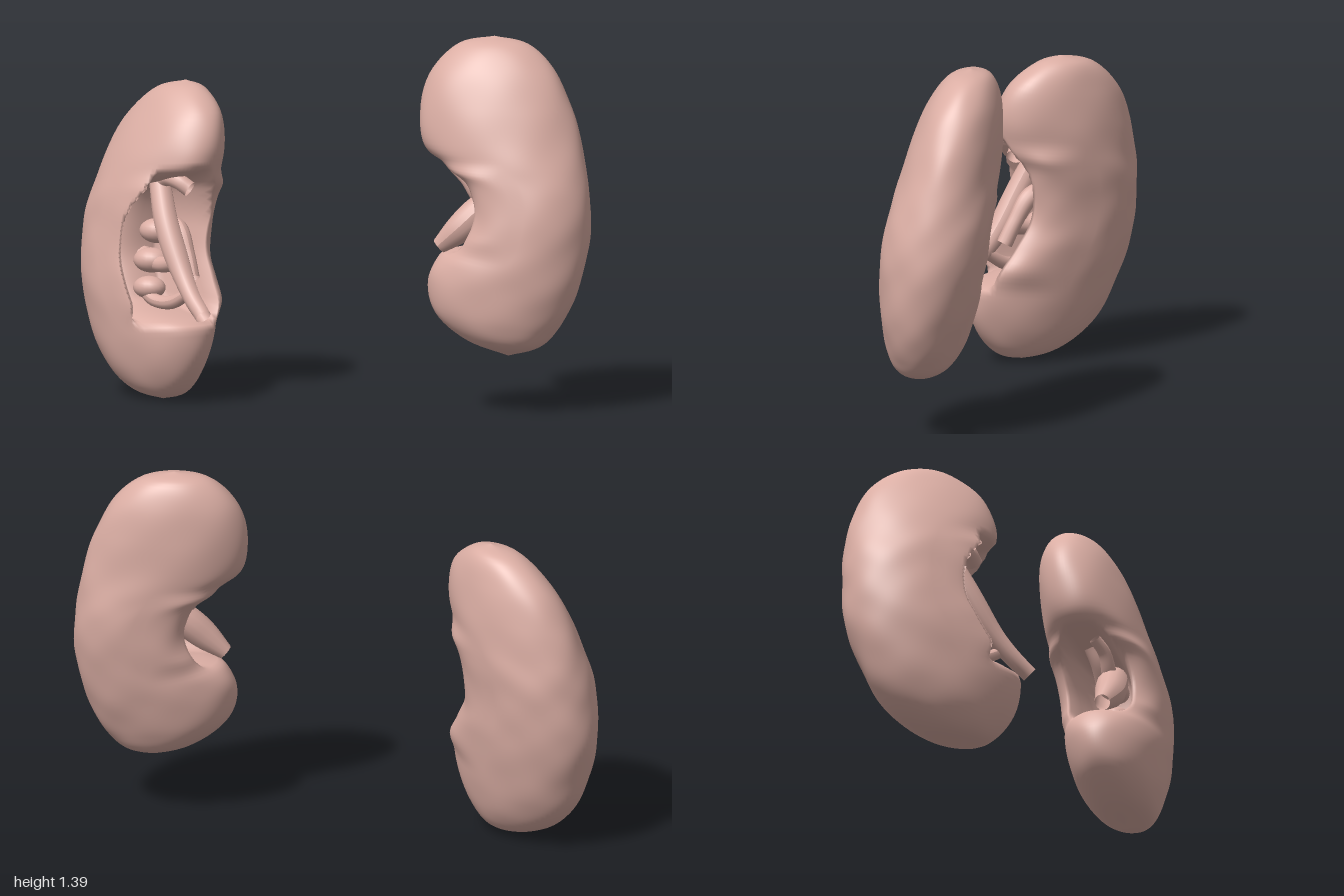
import * as THREE from 'three';

const flesh = new THREE.MeshStandardMaterial({ color: 0xdbaea4, side: THREE.DoubleSide });
flesh.name = 'flesh pink';

const RINGS = 80, SIDES = 88;
const smooth = (a, b, x) => THREE.MathUtils.smoothstep(x, a, b);

// Bean body: each station is [inner edge x, y, outer edge x, y, half thickness].
// Around the hilum the section turns squarer and its inner side folds inward;
// mouth is [centre angle, floor half angle, lip half angle, depth] of that fold.
// lean tips the whole body, bow draws both poles backward.
function beanGeometry(stations, { lean, bow, hilum, mouth, seed }) {
  const inner = new THREE.CatmullRomCurve3(stations.map(s => new THREE.Vector3(s[0], s[1], s[4])));
  const outer = new THREE.CatmullRomCurve3(stations.map(s => new THREE.Vector3(s[2], s[3], 0)));
  const last = stations.length - 1;
  const midY = (stations[0][1] + stations[last][1]) / 2;
  const flip = stations[6][0] < stations[6][2];
  const pos = [], index = [];
  for (let i = 0; i <= RINGS; i++) {
    const f = i / RINGS, k = f * last;
    const a = inner.getPoint(f), b = outer.getPoint(f);
    const h = smooth(hilum[0], hilum[0] + 0.9, k) * (1 - smooth(hilum[1] - 0.9, hilum[1], k));
    const widen = 0.65 + 0.35 * smooth(hilum[0], hilum[0] + 2.5, k);
    for (let j = 0; j < SIDES; j++) {
      const t = (j / SIDES) * Math.PI * 2;
      const signed = t > Math.PI ? t - Math.PI * 2 : t;
      const dent = h * (1 - smooth(mouth[1] * widen, mouth[2] * widen, Math.abs(signed - mouth[0])));
      let c = Math.cos(t), s = Math.sin(t);
      if (c > 0) {
        c = c ** (1 - 0.4 * h);
        s = Math.sign(s) * Math.abs(s) ** (1 - 0.25 * h);
      }
      c -= mouth[3] * dent;
      s *= 1 - 0.12 * dent;
      // gentle lumps over the surface
      const lump = 1 + 0.008 * Math.sin(4 * t + seed) * Math.sin(23 * f + seed)
        + 0.006 * Math.sin(7 * t + 2 * seed) * Math.sin(41 * f);
      const x = (a.x + b.x) / 2 + (a.x - b.x) / 2 * c * lump;
      const y = (a.y + b.y) / 2 + (a.y - b.y) / 2 * c * lump;
      const rise = y - midY;
      const z = Math.max(a.z, 0) * s * lump - lean * rise - bow * (rise / 0.59) ** 2;
      pos.push(x, y, z);
      if (i < RINGS) {
        const n = (j + 1) % SIDES;
        const p = i * SIDES + j, q = i * SIDES + n, r = p + SIDES, w = q + SIDES;
        if (flip) index.push(p, r, q, q, r, w);
        else index.push(p, q, r, q, w, r);
      }
    }
  }
  const g = new THREE.BufferGeometry();
  g.setAttribute('position', new THREE.Float32BufferAttribute(pos, 3));
  g.setIndex(index);
  g.computeVertexNormals();
  return g;
}

// Tapered vessel: each point is [x, y, z, radius]
function vessel(name, pts) {
  const path = new THREE.CatmullRomCurve3(pts.map(p => new THREE.Vector3(p[0], p[1], p[2])));
  const radius = new THREE.CatmullRomCurve3(pts.map((p, i) => new THREE.Vector3(i, p[3], 0)));
  const n = 24, m = 14;
  const g = new THREE.TubeGeometry(path, n, 1, m, false);
  const v = new THREE.Vector3(), pos = g.attributes.position;
  for (let i = 0; i < pos.count; i++) {
    const f = Math.floor(i / (m + 1)) / n;
    const c = path.getPointAt(f), r = radius.getPoint(f).y;
    v.fromBufferAttribute(pos, i).sub(c).multiplyScalar(r).add(c);
    pos.setXYZ(i, v.x, v.y, v.z);
  }
  g.computeVertexNormals();
  const mesh = new THREE.Mesh(g, flesh);
  mesh.name = name;
  return mesh;
}

// Rounded cup end inside the hilum
function calyx(x, y, z, r) {
  const mesh = new THREE.Mesh(new THREE.SphereGeometry(r, 20, 14), flesh);
  mesh.position.set(x, y, z);
  mesh.scale.set(1.25, 0.85, 1);
  mesh.name = 'calyx';
  return mesh;
}

function body(name, stations, options, position, turn) {
  const mesh = new THREE.Mesh(beanGeometry(stations, options), flesh);
  mesh.name = name;
  mesh.position.set(...position);
  mesh.rotation.y = turn;
  return mesh;
}

export function createModel() {
  const model = new THREE.Group();
  model.name = 'kidneys';

  // Right kidney, hilum turned toward the front
  const right = new THREE.Group();
  right.name = 'rightKidney';
  const rightStations = [
    [0.37, 1.177, 0.37, 1.177, 0], [0.46, 1.153, 0.24, 1.14, 0.075], [0.565, 1.07, 0.12, 1.03, 0.13],
    [0.6, 0.95, 0.06, 0.9, 0.17], [0.58, 0.84, 0.03, 0.78, 0.19], [0.53, 0.75, 0.015, 0.69, 0.2],
    [0.515, 0.65, 0.01, 0.6, 0.2], [0.525, 0.55, 0.01, 0.5, 0.2], [0.58, 0.46, 0.025, 0.4, 0.2],
    [0.65, 0.35, 0.06, 0.29, 0.19], [0.655, 0.23, 0.11, 0.18, 0.17], [0.61, 0.11, 0.19, 0.09, 0.135],
    [0.54, 0.03, 0.3, 0.03, 0.085], [0.44, 0, 0.44, 0, 0],
  ].map(([a, b, c, d, e]) => [a * 1.06, b, c * 1.06, d, e]);
  right.add(
    body('rightBody', rightStations,
      { lean: 0.13, bow: 0.04, hilum: [3.6, 9.5], mouth: [0.36, 0.6, 0.88, 0.95], seed: 1 },
      [-0.98, 0, -0.17], -0.59),
    vessel('ureter', [[-0.65, 0.8, 0.06, 0.04], [-0.6, 0.66, 0.12, 0.045], [-0.52, 0.5, 0.18, 0.045],
      [-0.45, 0.4, 0.235, 0.035], [-0.39, 0.34, 0.275, 0.03]]),
    vessel('artery', [[-0.66, 0.76, 0.04, 0.03], [-0.62, 0.82, 0.08, 0.03], [-0.56, 0.82, 0.11, 0.03], [-0.51, 0.79, 0.11, 0.03]]),
    vessel('vein', [[-0.64, 0.66, 0.02, 0.03], [-0.57, 0.63, 0.07, 0.035], [-0.52, 0.54, 0.11, 0.03], [-0.49, 0.46, 0.14, 0.03]]),
    vessel('lowerBranch', [[-0.72, 0.42, 0.07, 0.03], [-0.65, 0.37, 0.12, 0.025], [-0.56, 0.37, 0.16, 0.025], [-0.47, 0.42, 0.2, 0.02]]),
    vessel('middleBranch', [[-0.72, 0.52, 0.05, 0.04], [-0.63, 0.5, 0.1, 0.03], [-0.54, 0.52, 0.15, 0.03]]),
    calyx(-0.66, 0.62, 0.06, 0.055), calyx(-0.68, 0.51, 0.07, 0.055), calyx(-0.68, 0.41, 0.09, 0.05),
  );

  // Left kidney, set higher with its hilum toward the middle
  const left = new THREE.Group();
  left.name = 'leftKidney';
  const leftStations = [
    [0.62, 1.39, 0.62, 1.39, 0], [0.485, 1.36, 0.75, 1.36, 0.08], [0.385, 1.26, 0.85, 1.27, 0.135],
    [0.35, 1.13, 0.915, 1.14, 0.165], [0.37, 0.99, 0.955, 1.01, 0.18], [0.45, 0.92, 0.98, 0.9, 0.19],
    [0.53, 0.86, 0.995, 0.8, 0.195], [0.555, 0.75, 1, 0.7, 0.195], [0.515, 0.65, 0.99, 0.6, 0.19],
    [0.43, 0.58, 0.965, 0.48, 0.185], [0.395, 0.5, 0.93, 0.39, 0.17], [0.42, 0.38, 0.88, 0.31, 0.145],
    [0.53, 0.28, 0.82, 0.25, 0.1], [0.7, 0.215, 0.7, 0.215, 0],
  ].map(([a, b, c, d, e]) => [a - 0.67, b, c - 0.67, d, e]);
  left.add(
    body('leftBody', leftStations,
      { lean: 0.15, bow: 0.015, hilum: [4.5, 8.7], mouth: [0, 0.36, 0.6, 1], seed: 4 },
      [0.67, 0, -0.08], 0.22),
    vessel('ureter', [[0.68, 0.82, -0.05, 0.05], [0.6, 0.75, -0.01, 0.06], [0.54, 0.69, 0.02, 0.055], [0.46, 0.62, 0.04, 0.03]]),
    vessel('artery', [[0.5, 0.91, -0.02, 0.022], [0.55, 0.87, -0.01, 0.025], [0.6, 0.8, -0.02, 0.03], [0.68, 0.74, -0.05, 0.03]]),
    vessel('vein', [[0.54, 0.9, -0.07, 0.02], [0.58, 0.84, -0.06, 0.025], [0.66, 0.74, -0.07, 0.03]]),
    calyx(0.7, 0.78, -0.06, 0.05), calyx(0.69, 0.66, -0.04, 0.05),
  );

  model.add(right, left);
  return model;
}
